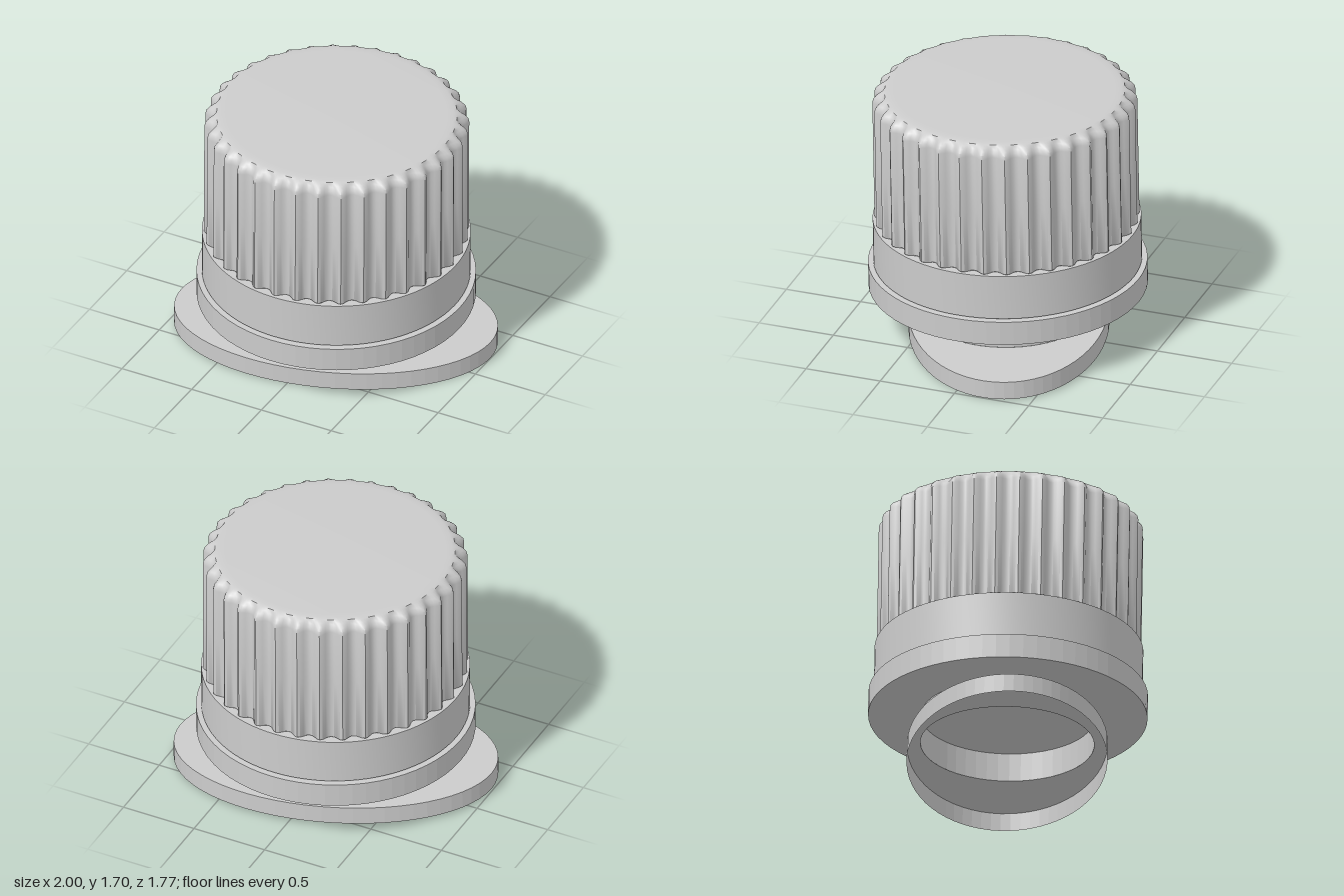
import * as THREE from 'three';
import { toCreasedNormals } from 'three/addons/utils/BufferGeometryUtils.js';

const RIDGES = 36;

export function createModel() {
  const root = new THREE.Group();
  root.name = 'bottleCap';
  const body = new THREE.Group();
  body.name = 'tiltedBody';
  // the whole piece leans very slightly
  body.rotation.set(0.0135, 0, -0.011);
  body.position.y = 0.012;
  root.add(body);

  const smooth = new THREE.MeshStandardMaterial({ color: 0xcccccc });
  const faceted = new THREE.MeshStandardMaterial({ color: 0xcccccc, flatShading: true, side: THREE.DoubleSide });

  const add = (name, geometry, material, parent = body) => {
    const mesh = new THREE.Mesh(geometry, material);
    mesh.name = name;
    parent.add(mesh);
    return mesh;
  };
  const lathe = (profile, segments) =>
    new THREE.LatheGeometry(profile.map(([r, y]) => new THREE.Vector2(r, y)), segments);

  // oval base flange: open-bottomed shell with a round hole under the neck
  const flange = new THREE.Group();
  flange.name = 'baseFlange';
  flange.rotation.y = 0.323;
  body.add(flange);
  const wall = new THREE.CylinderGeometry(1, 1, 0.12, 64, 1, true);
  wall.scale(1.033, 1, 0.635).translate(0, 0.06, 0);
  add('flangeWall', wall, faceted, flange);
  const oval = new THREE.Shape().absellipse(0, 0, 1.033, 0.635, 0, Math.PI * 2);
  oval.holes.push(new THREE.Path().absarc(0, 0, 0.55, 0, Math.PI * 2, true));
  const plate = new THREE.ShapeGeometry(oval, 32);
  plate.rotateX(-Math.PI / 2).translate(0, 0.12, 0);
  add('flangePlate', plate, faceted, flange);

  // hollow neck
  const neck = new THREE.CylinderGeometry(0.55, 0.55, 0.19, 48, 1, true);
  neck.translate(0, 0.215, 0);
  add('neck', neck, faceted);

  // collar disc, closing the neck at its underside
  const collar = new THREE.CylinderGeometry(0.884, 0.884, 0.16, 64);
  collar.translate(0, 0.39, 0);
  add('collar', collar, faceted);

  // smooth band, with a fine groove above the collar
  const band = lathe([[0.835, 0.47], [0.835, 0.478], [0.85, 0.478], [0.85, 0.778], [0, 0.778]], 96);
  add('tamperBand', toCreasedNormals(band, 0.6), smooth);

  // ridged cap: rounded crests, wide concave flutes that fade out on the bevel
  const profile = [
    [0.825, 0.775], [0.838, 0.785], [0.838, 1.2], [0.838, 1.595], [0.832, 1.62],
    [0.815, 1.64], [0.79, 1.655], [0.765, 1.667], [0.74, 1.672], [0.7, 1.674], [0, 1.674],
  ];
  const cap = lathe(profile, RIDGES * 8);
  const p = cap.attributes.position;
  for (let i = 0; i < p.count; i++) {
    const x = p.getX(i), z = p.getZ(i), r = Math.hypot(x, z);
    if (r < 0.1) continue;
    const crest = Math.abs(Math.cos(Math.atan2(x, z) * RIDGES / 2)) ** 2.5;
    const fade = THREE.MathUtils.smoothstep(r, 0.75, 0.82);
    const k = (r - 0.042 * fade * (1 - crest)) / r;
    p.setX(i, x * k);
    p.setZ(i, z * k);
  }
  add('ridgedCap', toCreasedNormals(cap, 0.8), smooth);

  return root;
}
